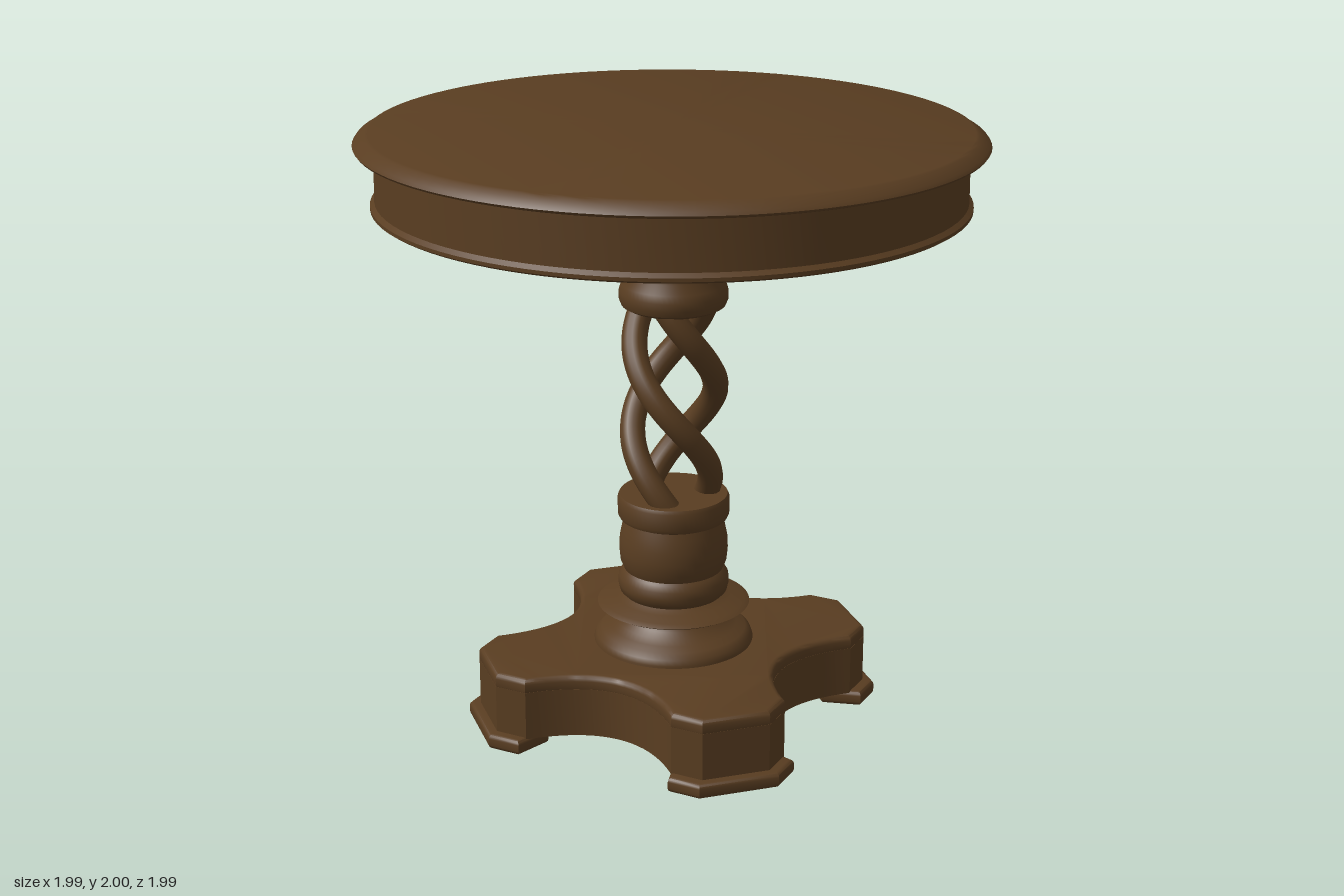
import * as THREE from 'three';
import { toCreasedNormals } from 'three/addons/utils/BufferGeometryUtils.js';

const mat = (name, color, side = THREE.FrontSide) => {
  const m = new THREE.MeshStandardMaterial({ color, side });
  m.name = name;
  return m;
};

export function createModel() {
  const wood = mat('brown wood', 0x593d21);
  const amber = mat('raw amber wood', 0xa06c28, THREE.DoubleSide);
  const grey = mat('grey patch', 0xa8a8a6, THREE.DoubleSide);
  const model = new THREE.Group();
  model.name = 'pedestalTable';

  const add = (parent, name, geo, material, x = 0, y = 0, z = 0) => {
    const m = new THREE.Mesh(geo, material);
    m.name = name;
    m.position.set(x, y, z);
    parent.add(m);
    return m;
  };
  const lathe = (pts, segments = 64) => toCreasedNormals(
    new THREE.LatheGeometry(pts.map(([r, y]) => new THREE.Vector2(r, y)), segments), 0.6);
  // Extrudes a plan outline upward, with a small bevel kept inside the outline
  const slab = (shape, height, bevel) => {
    const g = new THREE.ExtrudeGeometry(shape, {
      depth: height - 2 * bevel, bevelEnabled: bevel > 0, bevelThickness: bevel,
      bevelSize: bevel, bevelOffset: -bevel, bevelSegments: 3, curveSegments: 20,
    });
    g.translate(0, 0, bevel);
    g.rotateX(-Math.PI / 2);
    return toCreasedNormals(g, 0.6);
  };

  // Table top and apron, leaning very slightly
  const top = new THREE.Group();
  top.name = 'tableTop';
  top.position.y = 1.85;
  top.rotation.set(-0.005, 0, -0.006);
  model.add(top);
  add(top, 'topBoard', lathe([
    [0, 0.095], [0.93, 0.095], [0.975, 0.096], [0.99, 0.101], [0.995, 0.108],
    [0.988, 0.118], [0.968, 0.13], [0.955, 0.14], [0.945, 0.143], [0, 0.143],
  ], 96), wood);
  add(top, 'apron', lathe([
    [0.88, 0.096], [0.88, -0.1], [0.935, -0.1], [0.946, -0.093], [0.946, -0.082],
    [0.932, -0.07], [0.93, 0.096],
  ], 96), wood);
  // Bare spot inside the apron and a pale spot under the board
  add(top, 'apronPatch', new THREE.CylinderGeometry(0.876, 0.876, 0.13, 8, 1, true, -0.57, 0.17), amber, 0, -0.04, 0);
  const pale = add(top, 'boardPatch', new THREE.CircleGeometry(0.13, 3), grey, 0.56, 0.091, 0.13);
  pale.rotation.x = Math.PI / 2;

  // Base and framing are turned a little about the column
  const lower = new THREE.Group();
  lower.name = 'pedestal';
  lower.position.x = 0.006;
  lower.rotation.y = -0.15;
  model.add(lower);

  // Underside framing
  for (const s of [-1, 1]) add(lower, 'supportBeam', new THREE.BoxGeometry(0.09, 0.155, 1.56), wood, s * 0.37, 1.866, 0);
  add(lower, 'mountingPlate', new THREE.BoxGeometry(0.64, 0.07, 0.72), amber, 0, 1.825, 0);
  add(lower, 'beamPatch', new THREE.BoxGeometry(0.008, 0.05, 0.09), grey, 0.417, 1.83, 0.02);

  // Turned upper capital
  add(lower, 'capital', lathe([
    [0, 1.41], [0.15, 1.41], [0.168, 1.42], [0.176, 1.44], [0.176, 1.465], [0.168, 1.49],
    [0.15, 1.52], [0.145, 1.545], [0.15, 1.562], [0.17, 1.575], [0.177, 1.6], [0.17, 1.625],
    [0.15, 1.64], [0.148, 1.66], [0.155, 1.69], [0.165, 1.715], [0.17, 1.74], [0.17, 1.8], [0, 1.8],
  ]), wood);

  // Three twisted strands
  for (let k = 0; k < 3; k++) {
    const pts = [];
    for (let i = 0; i <= 20; i++) {
      const t = i / 20, y = 0.75 + t * 0.68;
      const a = Math.PI / 2 + (1.07 - y) * Math.PI * 2 + k * Math.PI * 2 / 3;
      const r = 0.112 + 0.025 * Math.sin(Math.PI * t);
      pts.push(new THREE.Vector3(0.006 + r * Math.sin(a), y, r * Math.cos(a)));
    }
    add(model, 'twistedStrand', new THREE.TubeGeometry(new THREE.CatmullRomCurve3(pts), 56, 0.042, 14), wood);
  }

  // Turned lower column with flared collar
  add(lower, 'lowerColumn', lathe([
    [0.265, 0.24], [0.265, 0.262], [0.258, 0.28], [0.24, 0.298], [0.21, 0.308], [0.19, 0.325],
    [0.168, 0.34], [0.158, 0.355], [0.185, 0.364], [0.235, 0.38], [0.253, 0.39], [0.235, 0.4],
    [0.19, 0.41], [0.165, 0.422], [0.178, 0.435], [0.184, 0.46], [0.182, 0.485], [0.17, 0.505],
    [0.164, 0.512], [0.176, 0.54], [0.18, 0.58], [0.178, 0.62], [0.17, 0.66], [0.163, 0.685],
    [0.178, 0.692], [0.184, 0.705], [0.184, 0.76], [0.178, 0.772], [0, 0.772],
  ]), wood);

  // Cross-shaped base with concave sides, hollow below
  const outline = (s, target) => {
    for (let k = 0; k < 4; k++) {
      const c = Math.cos(k * Math.PI / 2) * s, n = Math.sin(k * Math.PI / 2) * s;
      const at = (r, w) => [c * r - n * w, n * r + c * w];
      if (k === 0) target.moveTo(...at(0.565, -0.19));
      target.lineTo(...at(0.643, -0.112));
      target.lineTo(...at(0.643, 0.112));
      target.lineTo(...at(0.565, 0.19));
      target.quadraticCurveTo(...at(0.185, 0.185), ...at(0.19, 0.565));
    }
    return target;
  };
  const wall = outline(1, new THREE.Shape());
  wall.holes.push(outline(0.92, new THREE.Path()));
  add(lower, 'baseWall', slab(wall, 0.165, 0), wood, 0, 0.045, 0);
  add(lower, 'baseTop', slab(outline(1, new THREE.Shape()), 0.06, 0.018), wood, 0, 0.195, 0);

  // Pointed feet under the four corners
  const footPlan = new THREE.Shape([
    [0.48, -0.15], [0.597, -0.212], [0.676, -0.133], [0.676, 0.133], [0.597, 0.212], [0.48, 0.15],
  ].map(([x, y]) => new THREE.Vector2(x, y)));
  const footGeo = slab(footPlan, 0.05, 0.014);
  for (let k = 0; k < 4; k++) {
    const f = add(lower, 'foot', footGeo, wood);
    f.rotation.y = k * Math.PI / 2;
  }

  // Small unfinished spots on the feet and base
  add(lower, 'rawFootStrip', new THREE.BoxGeometry(0.03, 0.045, 0.24), amber, -0.475, 0.026, -0.08);
  add(lower, 'rawFootBlock', new THREE.BoxGeometry(0.05, 0.1, 0.09), amber, -0.485, 0.09, -0.05);
  const blob = add(lower, 'footBlob', new THREE.SphereGeometry(0.07, 16, 10), grey, 0, 0.09, 0.5);
  blob.scale.y = 0.75;
  add(lower, 'footPatch', new THREE.BoxGeometry(0.1, 0.03, 0.02), grey, 0.1, 0.032, 0.474);
  const spot = add(lower, 'basePatch', new THREE.CircleGeometry(0.027, 10), grey, 0.08, 0.14, -0.646);
  spot.rotation.y = Math.PI;
  spot.scale.y = 1.7;
  return model;
}
